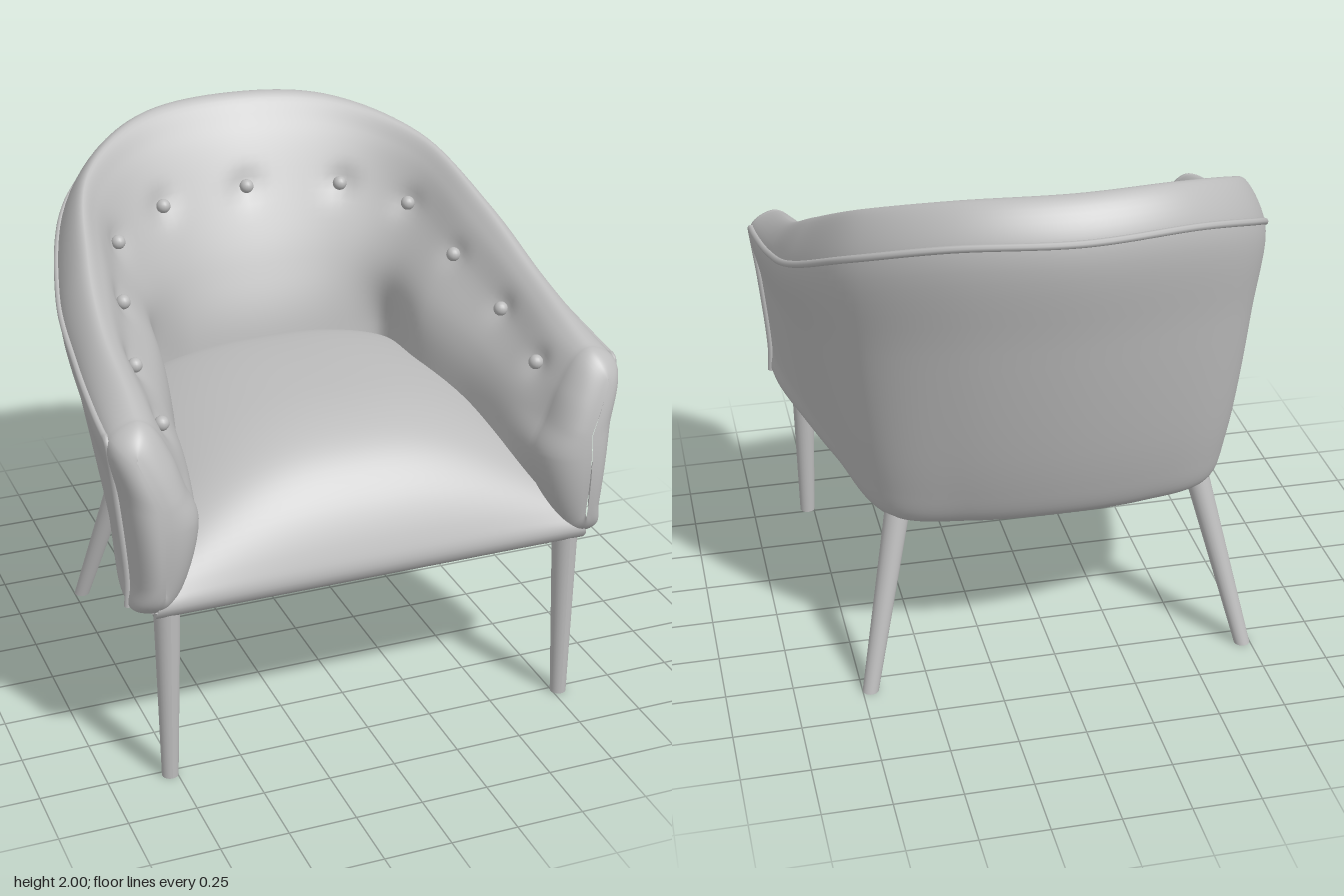
import * as THREE from 'three';

const fabric = new THREE.MeshStandardMaterial({ color: 0xbcbcbc });
fabric.name = 'light grey';

const V = (x, y, z) => new THREE.Vector3(x, y, z);
const spline = (pts, closed = false) => new THREE.CatmullRomCurve3(pts, closed, 'centripetal');

// Half of the shell, back centre to arm front:
// seat line, tufting line, crest, piped rim, outer bottom.
const STATIONS = [
  [[0, 1.15, -0.3], [0, 1.69, -0.53], [0, 2.0, -0.75], [0, 1.87, -0.865], [0, 0.68, -0.59]],
  [[0.3, 1.15, -0.3], [0.36, 1.68, -0.46], [0.38, 1.977, -0.67], [0.42, 1.85, -0.77], [0.33, 0.665, -0.54]],
  [[0.475, 1.13, -0.295], [0.585, 1.62, -0.31], [0.67, 1.865, -0.41], [0.72, 1.73, -0.51], [0.6, 0.65, -0.42]],
  [[0.5, 1.13, 0], [0.655, 1.5, -0.03], [0.785, 1.69, -0.04], [0.882, 1.53, -0.07], [0.73, 0.665, 0]],
  [[0.57, 1.1, 0.3], [0.71, 1.39, 0.28], [0.83, 1.54, 0.28], [0.92, 1.42, 0.28], [0.81, 0.68, 0.3]],
  [[0.605, 1.05, 0.55], [0.71, 1.3, 0.58], [0.84, 1.445, 0.58], [0.94, 1.36, 0.58], [0.875, 0.69, 0.58]],
  [[0.64, 1.02, 0.72], [0.73, 1.27, 0.72], [0.85, 1.4, 0.72], [0.945, 1.34, 0.72], [0.893, 0.7, 0.73]],
];
const BULGE = [0.04, 0.04, 0.03, 0.008, 0, -0.008, -0.012]; // fullness of the outer wall
const PADDING = [0.025, 0.03, 0.06, 0.04, 0.03, 0.02, 0]; // fullness of the inner cushion
const TUFT = 3, RIM = 6, UNDER = 10; // places in a section

// Direction from the seat towards the shell
const outward = (p) => V(p.x, 0, Math.min(p.z - 0.1, 0) * (Math.abs(p.x) > 0.62 ? 0.3 : 1)).normalize();

// Closed cross-section of the shell at one station
function section(station, index) {
  const [seat, tuft, crest, rim, low] = station.map((p) => V(...p));
  const last = index === STATIONS.length - 1;
  const out = V(rim.x, 0, Math.min(rim.z, 0)).normalize().multiplyScalar(BULGE[index]);
  const cushion = seat.clone().lerp(tuft, 0.5).addScaledVector(outward(tuft), -PADDING[index]);
  const upper = tuft.clone().lerp(crest, 0.55);
  upper.y += 0.035;
  const under = low.clone().addScaledVector(V(low.x, 0, Math.min(low.z, 0)).normalize(), -0.08);
  under.y -= 0.025;
  return [
    V(last ? 0.74 : seat.x, 0.7, seat.z), seat, cushion, tuft, upper, crest, rim,
    rim.clone().lerp(low, 0.35).add(out), rim.clone().lerp(low, 0.85).add(out), low, under,
  ];
}

const mirror = (p) => V(-p.x, p.y, p.z);
const half = STATIONS.map(section);
const sections = [...half.slice(1).reverse().map((s) => s.map(mirror)), ...half];
const rails = half[0].map((_, j) => spline(sections.map((s) => s[j])));

// Surface through rows of points
function gridGeometry(rows, closed) {
  const n = rows[0].length;
  const index = [];
  for (let i = 0; i < rows.length - 1; i++) {
    for (let j = 0; j < (closed ? n : n - 1); j++) {
      const k = (j + 1) % n;
      const a = i * n + j, b = (i + 1) * n + j, c = (i + 1) * n + k, d = i * n + k;
      index.push(a, b, c, a, c, d);
    }
  }
  const geometry = new THREE.BufferGeometry().setFromPoints(rows.flat());
  geometry.setIndex(index);
  geometry.computeVertexNormals();
  return geometry;
}

const buttonSpots = half.slice(0, 6).flatMap((s, i) => (i ? [s[TUFT], mirror(s[TUFT])] : [s[TUFT]]));

function shellGeometry() {
  const N = 120, M = 88;
  const rings = [];
  for (let i = 0; i <= N; i++) {
    const curve = spline(rails.map((r) => r.getPoint(i / N)), true);
    rings.push(Array.from({ length: M }, (_, j) => curve.getPoint(j / M)));
  }
  // Dimples pulled in by the buttons
  for (const p of rings.flat()) {
    for (const b of buttonSpots) {
      const d2 = p.distanceToSquared(b);
      if (d2 < 0.03) p.addScaledVector(outward(b), 0.02 * Math.exp(-d2 / 0.003));
    }
  }
  // Rounded fronts of the arms, closing on an upright middle line
  const cap = (ring, side) => Array.from({ length: 16 }, (_, k) => {
    const a = ((k + 1) / 16) * Math.PI / 2;
    const s = Math.pow(Math.max(Math.cos(a), 0), 0.75);
    return ring.map((p) => {
      const y = 1.05 + (p.y - 1.05) * (0.7 + 0.3 * s);
      const middle = side * (0.8 + 0.3 * Math.max(0, p.y - 1.15));
      const depth = 0.155 - 0.5 * (y - 1) ** 2;
      return V(middle + (p.x - middle) * s, y, p.z + depth * Math.sin(a));
    });
  });
  return gridGeometry([...cap(rings[0], -1).reverse(), ...rings, ...cap(rings[N], 1)], true);
}

// Crowned seat with a front that rolls down and widens
function seatGeometry() {
  // z, y, half width, drop at the sides
  const profile = [
    [-0.36, 1.14, 0.54, 0.1], [-0.25, 1.165, 0.56, 0.11], [0.1, 1.18, 0.63, 0.14],
    [0.42, 1.155, 0.66, 0.17], [0.6, 1.08, 0.69, 0.15], [0.73, 0.95, 0.74, 0.1],
    [0.81, 0.8, 0.79, 0.04], [0.83, 0.72, 0.82, 0.01], [0.8, 0.67, 0.82, 0], [0.72, 0.66, 0.8, 0],
  ];
  const line = spline(profile.map(([z, y]) => V(0, y, z)));
  const shape = spline(profile.map(([, , w, d], i) => V(w, d, i * 0.1)));
  const rows = [];
  for (let i = 0; i <= 48; i++) {
    const p = line.getPoint(i / 48), q = shape.getPoint(i / 48);
    rows.push(Array.from({ length: 33 }, (_, j) => {
      const u = j / 16 - 1;
      return V(u * q.x, p.y - q.y * Math.abs(u) ** 2.5, p.z);
    }));
  }
  return gridGeometry(rows, false);
}

// Flat underside following the bottom of the shell
function baseGeometry() {
  const pts = Array.from({ length: 61 }, (_, i) => rails[UNDER].getPoint(i / 60));
  const outline = new THREE.Shape(pts.map((p) => new THREE.Vector2(p.x, -p.z)));
  return new THREE.ExtrudeGeometry(outline, { depth: 0.04, bevelEnabled: false })
    .rotateX(-Math.PI / 2).translate(0, 0.648, 0);
}

// Tapered leg, sheared so that the foot stays level
function legGeometry(top, foot) {
  const geometry = new THREE.CylinderGeometry(0.047, 0.03, top.y, 24).translate(0, top.y / 2, 0);
  const pos = geometry.attributes.position;
  for (let i = 0; i < pos.count; i++) {
    const p = foot.clone().lerp(top, pos.getY(i) / top.y);
    pos.setX(i, pos.getX(i) + p.x);
    pos.setZ(i, pos.getZ(i) + p.z);
  }
  geometry.computeVertexNormals();
  return geometry;
}

export function createModel() {
  const group = new THREE.Group();
  const add = (name, geometry) => {
    const mesh = new THREE.Mesh(geometry, fabric);
    mesh.name = name;
    group.add(mesh);
    return mesh;
  };

  add('backAndArms', shellGeometry());
  add('seat', seatGeometry());
  add('base', baseGeometry());

  // Piping below the roll and down the front of each arm
  const rimPath = Array.from({ length: 61 }, (_, i) => rails[RIM].getPoint(i / 60));
  const front = half[6].slice(RIM + 1, UNDER).map((p) => V(p.x + 0.004, p.y, p.z));
  const path = [...front.map(mirror).reverse(), ...rimPath, ...front];
  add('piping', new THREE.TubeGeometry(spline(path), 300, 0.013, 8));

  // Tufting buttons
  for (const spot of buttonSpots) {
    add('button', new THREE.SphereGeometry(0.027, 16, 12)).position.copy(spot);
  }

  for (const side of [-1, 1]) {
    const name = side > 0 ? 'left' : 'right';
    add(`${name}FrontLeg`, legGeometry(V(side * 0.768, 0.68, 0.765), V(side * 0.775, 0, 0.772)));
    add(`${name}BackLeg`, legGeometry(V(side * 0.57, 0.66, -0.39), V(side * 0.72, 0, -0.575)));
  }
  return group;
}
